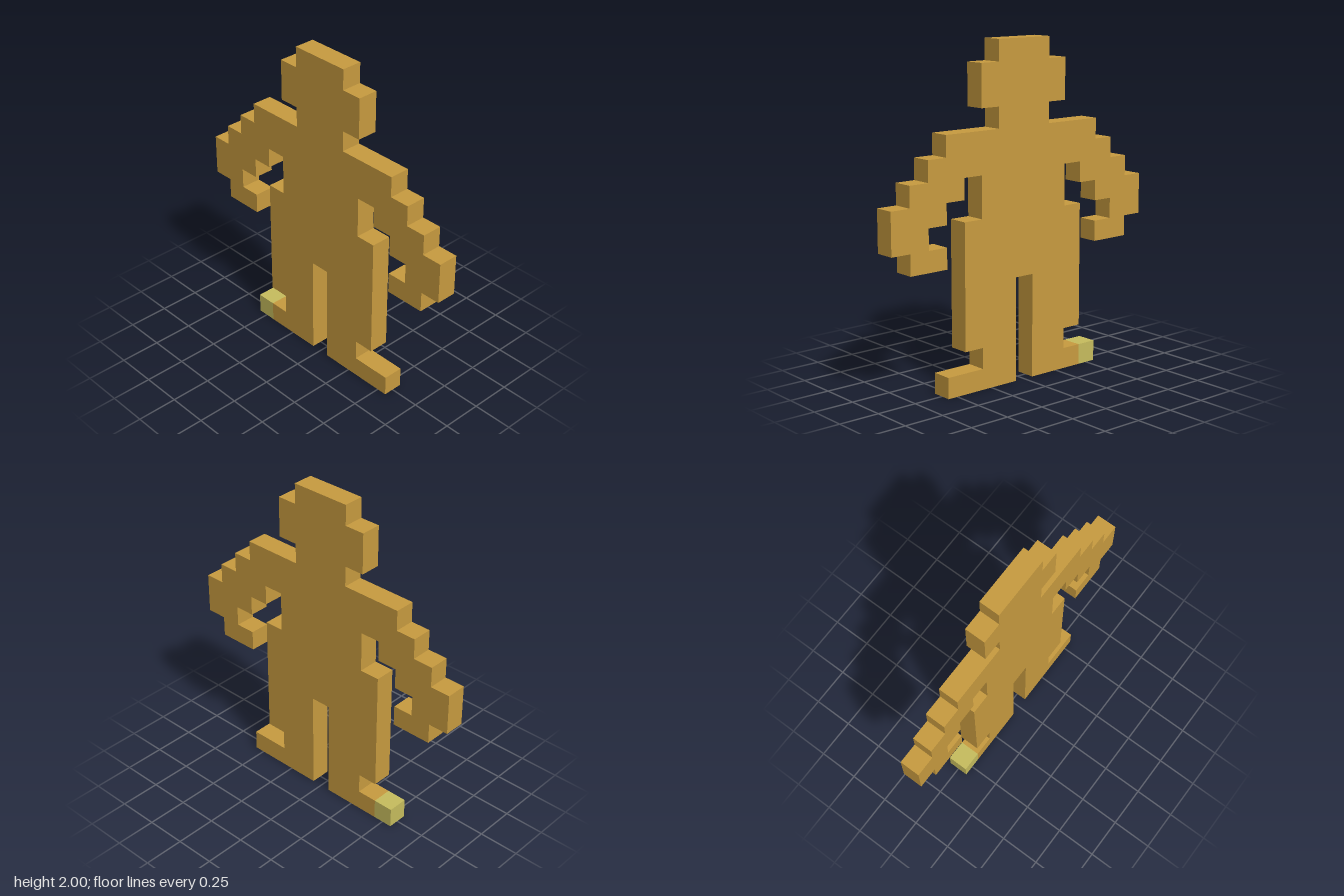
import * as THREE from 'three';

const U = 0.125; // one block of the stepped silhouette
const clay = new THREE.MeshStandardMaterial({ name: 'ochre', color: 0xc99c40 });
const pale = new THREE.MeshStandardMaterial({ name: 'pale yellow', color: 0xc8be5e });

// Flat one-block-thick plate from an outline in block units; side -1 mirrors it
function plate(name, points, side = 1, material = clay) {
  const shape = new THREE.Shape(points.map(([x, y]) => new THREE.Vector2(side * x * U, y * U)));
  const geometry = new THREE.ExtrudeGeometry(shape, { depth: U, bevelEnabled: false });
  geometry.translate(0, 0, -U / 2);
  const mesh = new THREE.Mesh(geometry, material);
  mesh.name = name;
  return mesh;
}

// Full outline from its +x half, listed bottom to top
const symmetric = (half) => [...half, ...half.map(([x, y]) => [-x, y]).reverse()];

export function createModel() {
  const model = new THREE.Group();
  model.name = 'blockFigure';

  // Head with ears and neck
  model.add(plate('head', symmetric([[1.5, 12], [1.5, 13], [2.5, 13], [2.5, 15], [1.5, 15], [1.5, 16]])));

  // Chest and wider hips
  model.add(plate('torso', symmetric([[3.5, 5], [3.5, 8], [2.5, 8], [2.5, 12]])));

  // Stepped, bent arm with the hand turned inwards
  const arm = [
    [2.5, 10], [3.5, 10], [3.5, 9], [4.5, 9], [4.5, 8], [5.5, 8], [5.5, 7], [4.5, 7],
    [4.5, 6], [6.5, 6], [6.5, 7], [7.5, 7], [7.5, 9], [6.5, 9], [6.5, 10], [5.5, 10],
    [5.5, 11], [4.5, 11], [4.5, 12], [2.5, 12],
  ];
  // Trouser leg, ankle and foot
  const leg = [[0.5, 0], [3.5, 0], [3.5, 1], [2.5, 1], [2.5, 2], [3.5, 2], [3.5, 5], [0.5, 5]];
  const toe = [[3.5, 0], [4.5, 0], [4.5, 1], [3.5, 1]];

  for (const [label, side] of [['left', 1], ['right', -1]]) {
    model.add(plate(label + 'Arm', arm, side));
    model.add(plate(label + 'Leg', leg, side));
    model.add(plate(label + 'Toe', toe, side, side < 0 ? pale : clay)); // only the right toe is pale
  }
  return model;
}
